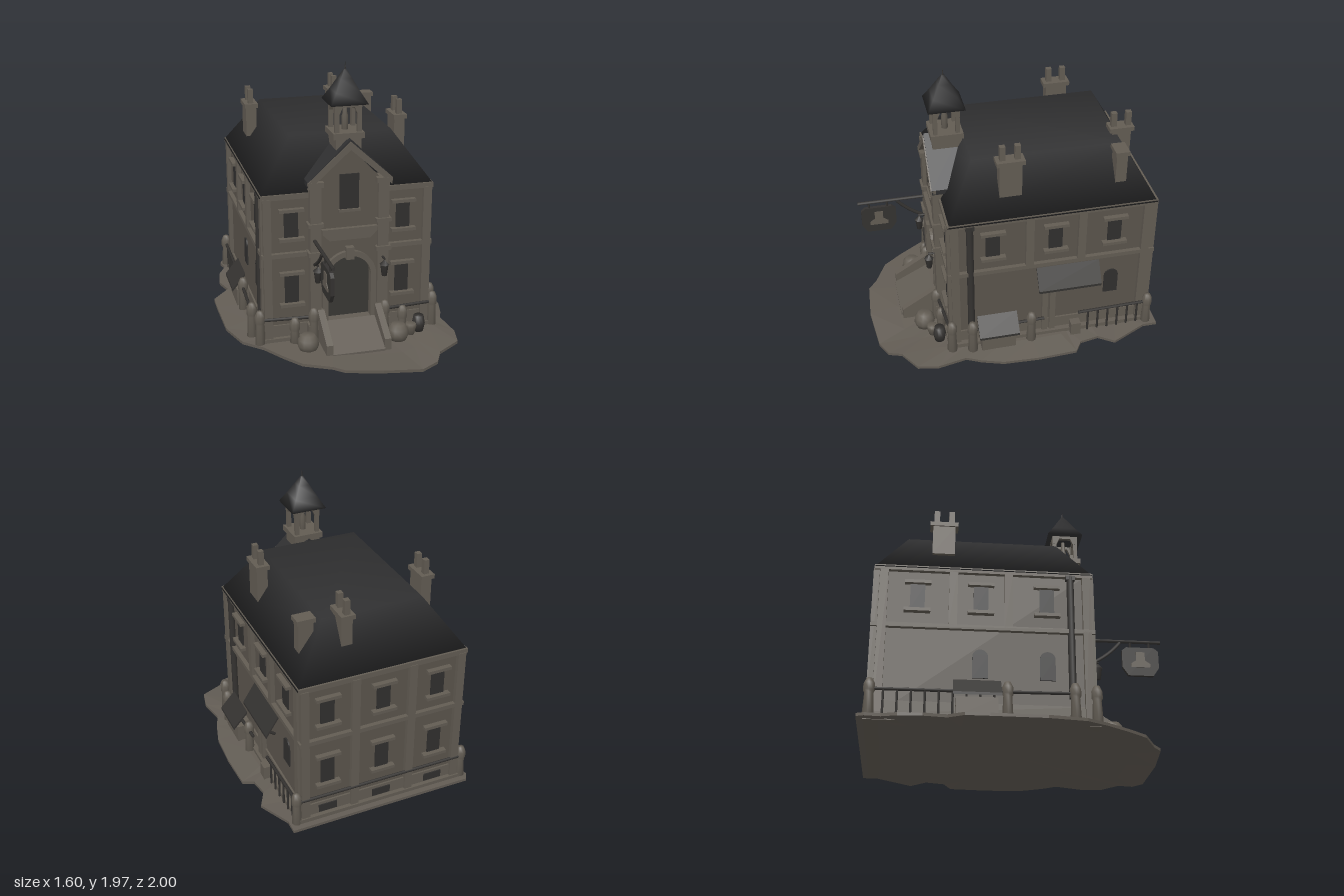
import * as THREE from 'three';
import { mergeVertices } from 'three/addons/utils/BufferGeometryUtils.js';

const mat = (name, color, side = THREE.FrontSide) => {
  const m = new THREE.MeshStandardMaterial({ color, side });
  m.name = name;
  return m;
};

export function createModel() {
  const root = new THREE.Group();
  const wall = mat('wall plaster', 0x5a544c), stone = mat('trim stone', 0x625c53);
  const slate = mat('roof slate', 0x2f2f30), wood = mat('dark wood', 0x343230);
  const glass = mat('window dark', 0x302f2e), doorWood = mat('door wood', 0x393734);
  const earth = mat('ground earth', 0x625c54, THREE.DoubleSide);

  const add = (name, geo, m, x = 0, y = 0, z = 0, parent = root) => {
    const o = new THREE.Mesh(geo, m);
    o.name = name;
    o.position.set(x, y, z);
    parent.add(o);
    return o;
  };
  // box given by its centre in x and z and its lowest and highest y
  const box = (name, m, w, y0, y1, d, x, z, parent = root) =>
    add(name, new THREE.BoxGeometry(w, y1 - y0, d), m, x, (y0 + y1) / 2, z, parent);
  // round bar between two points
  const bar = (name, m, a, b, r, sides = 6) => {
    const p = new THREE.Vector3(...a), q = new THREE.Vector3(...b), dir = q.clone().sub(p);
    const o = add(name, new THREE.CylinderGeometry(r, r, dir.length(), sides), m);
    o.position.copy(p).add(q).multiplyScalar(0.5);
    o.quaternion.setFromUnitVectors(new THREE.Vector3(0, 1, 0), dir.normalize());
    return o;
  };
  const lathe = (name, pts, m, x, y, z, sides = 10) =>
    add(name, new THREE.LatheGeometry(pts.map(p => new THREE.Vector2(...p)), sides), m, x, y, z);
  const extrude = (shape, depth) =>
    new THREE.ExtrudeGeometry(shape, { depth, bevelEnabled: false, curveSegments: 10 });
  const poly = pts => new THREE.Shape(pts.map(p => new THREE.Vector2(...p)));
  const arch = (S, w, y0, y1) => {
    const s = new S();
    s.moveTo(-w, y0); s.lineTo(w, y0); s.lineTo(w, y1);
    s.absarc(0, y1, w, 0, Math.PI, false); s.lineTo(-w, y0);
    return s;
  };

  // uneven ground, built in rings from its outline
  const outline = [[-0.63, -1], [0, -1], [0.66, -1], [0.66, -0.9], [0.76, -0.66], [0.7, -0.55], [0.72, -0.42],
    [0.79, -0.37], [0.8, -0.1], [0.79, 0.15], [0.75, 0.3], [0.71, 0.4], [0.74, 0.6], [0.71, 0.74], [0.55, 0.83],
    [0.5, 0.92], [0.38, 0.97], [0.1, 1], [-0.15, 0.98], [-0.22, 0.92], [-0.4, 0.83], [-0.5, 0.7], [-0.6, 0.55],
    [-0.72, 0.4], [-0.79, 0.15], [-0.8, -0.2], [-0.8, -0.35], [-0.68, -0.45], [-0.72, -0.6], [-0.7, -0.75], [-0.64, -0.85], [-0.66, -0.95]];
  const n = outline.length, pos = [], idx = [];
  const height = (x, z) => 0.11 - 0.2 * Math.max(0, Math.abs(x) - 0.64)
    - 0.16 * Math.max(0, z - 0.5) * Math.exp(-(((x - 0.4) / 0.3) ** 2));
  const rings = [[0.001, 0], [0.6, 0], [0.8, 0], [1, 0], [1, 0.02], [0.8, 0.035], [0.001, 0.035]];
  rings.forEach(([s, drop], r) => outline.forEach(([x, z], i) => {
    pos.push(x * s, height(x * s, z * s) - drop, z * s);
    if (r < rings.length - 1) {
      const a = r * n + i, b = r * n + (i + 1) % n;
      idx.push(a, b + n, b, a, a + n, b + n);
    }
  }));
  const groundGeo = new THREE.BufferGeometry();
  groundGeo.setAttribute('position', new THREE.Float32BufferAttribute(pos, 3));
  groundGeo.setIndex(idx);
  const groundFlat = groundGeo.toNonIndexed();
  groundFlat.computeVertexNormals();
  add('ground', groundFlat, earth);

  // house body, plinth, string course and cornice
  const cz = -0.23;
  box('plinth', stone, 1.22, 0.08, 0.135, 1.46, 0, cz);
  box('walls', wall, 1.12, 0.1, 1.16, 1.38, 0, cz);
  box('baseCourse', stone, 1.145, 0.13, 0.22, 1.405, 0, cz);
  box('stringCourse', stone, 1.18, 0.715, 0.745, 1.44, 0, cz);
  box('cornice', stone, 1.18, 1.12, 1.155, 1.43, 0, cz);

  // hipped roof with a flat top, softly shaded
  const roofBox = new THREE.BoxGeometry(1.19, 0.35, 1.42);
  roofBox.deleteAttribute('normal');
  roofBox.deleteAttribute('uv');
  const roofGeo = mergeVertices(roofBox);
  const rp = roofGeo.attributes.position;
  for (let i = 0; i < rp.count; i++) if (rp.getY(i) > 0) {
    rp.setX(i, rp.getX(i) * 0.585);
    rp.setZ(i, rp.getZ(i) * 0.715);
  }
  roofGeo.computeVertexNormals();
  add('roof', roofGeo, slate, 0, 1.315, cz);

  // facades: local z points out of the wall; pilasters are [position, lowest y]
  const facade = (name, x, z, turn, columns, pilasters, lower) => {
    const g = new THREE.Group();
    g.name = name;
    g.position.set(x, 0, z);
    g.rotation.y = turn;
    root.add(g);
    const framed = (u, y0, y1) => {
      box('windowPane', glass, 0.095, y0, y1, 0.009, u, 0.0045, g);
      box('lintel', stone, 0.17, y1, y1 + 0.022, 0.045, u, 0.012, g);
      box('sill', stone, 0.17, y0 - 0.022, y0, 0.05, u, 0.014, g);
    };
    columns.forEach((u, i) => {
      framed(u, 0.85, 1.03);
      if (lower[i] === 'framed') framed(u, 0.38, 0.585);
      if (lower[i] === 'arched') add('archedWindow', extrude(arch(THREE.Shape, 0.05, 0.39, 0.535), 0.009), glass, u, 0, 0, g);
    });
    pilasters.forEach(([u, y]) => box('pilaster', stone, 0.055, y, 1.13, 0.04, u, 0.01, g));
    return g;
  };
  const low = 0.1, high = 0.73;
  facade('frontWall', 0, 0.46, 0, [-0.385, 0.385], [[-0.55, low], [0.55, low]], ['framed', 'framed']);
  const back = facade('backWall', 0, -0.92, Math.PI, [-0.39, 0, 0.39],
    [[-0.55, low], [-0.2, low], [0.2, low], [0.55, low]], ['framed', 'framed', 'framed']);
  for (const u of [-0.39, 0, 0.39]) box('cellarWindow', glass, 0.13, 0.145, 0.2, 0.008, u, 0.016, back);
  facade('leftWall', 0.56, cz, Math.PI / 2, [-0.41, 0.02, 0.43],
    [[-0.67, low], [-0.16, high], [0.2, high], [0.65, low]], ['', '', 'arched']);
  facade('rightWall', -0.56, cz, -Math.PI / 2, [-0.43, -0.02, 0.41],
    [[-0.65, low], [-0.2, high], [0.16, high], [0.67, low]], ['', 'arched', 'arched']);

  // projecting entrance bay with arched doorway
  const bay = poly([[-0.22, 0.1], [0.22, 0.1], [0.22, 1.22], [0, 1.45], [-0.22, 1.22]]);
  bay.holes.push(arch(THREE.Path, 0.15, 0.24, 0.55));
  add('entranceBay', extrude(bay, 0.13), wall, 0, 0, 0.37);
  add('door', extrude(arch(THREE.Shape, 0.15, 0.24, 0.55), 0.006), doorWood, 0, 0, 0.463);
  const surround = arch(THREE.Shape, 0.185, 0.24, 0.55);
  surround.holes.push(arch(THREE.Path, 0.148, 0.24, 0.55));
  add('doorSurround', extrude(surround, 0.05), stone, 0, 0, 0.48);
  box('keystone', stone, 0.055, 0.68, 0.765, 0.07, 0, 0.51);
  const shelf = poly([[-0.19, 0.9], [-0.19, 0.87], [-0.14, 0.82], [0.14, 0.82], [0.19, 0.87], [0.19, 0.9]]);
  add('ledge', extrude(shelf, 0.05), stone, 0, 0, 0.48);
  box('gableWindow', glass, 0.13, 1.03, 1.27, 0.009, 0, 0.504);
  box('gableSill', stone, 0.15, 1.012, 1.03, 0.03, 0, 0.506);
  for (const s of [-1, 1]) {
    box('bayButtress', stone, 0.075, 0.1, 1.22, 0.11, s * 0.232, 0.47);
    for (const [y, h] of [[0.72, 0.03], [0.925, 0.025], [1.2, 0.035], [0.12, 0.1]])
      box('buttressBand', stone, 0.105, y, y + h, 0.14, s * 0.232, 0.47);
    const slope = [[s * 0.285, 1.2], [0, 1.475], [0, 1.51], [s * 0.285, 1.235]];
    add('gableRoof', extrude(poly(slope), 0.26), slate, 0, 0, 0.27);
    const cope = [[s * 0.285, 1.185], [0, 1.44], [0, 1.495], [s * 0.285, 1.235]];
    add('gableCoping', extrude(poly(cope), 0.035), stone, 0, 0, 0.503);
    // sloping stair walls
    const cheek = extrude(poly([[0.5, 0.1], [0.77, 0.1], [0.77, 0.18], [0.53, 0.33], [0.5, 0.33]]), 0.045);
    add('stairWall', cheek.rotateY(-Math.PI / 2), stone, s * 0.2 + 0.0225, 0, 0);
    // lanterns beside the door
    bar('lanternArm', wood, [s * 0.23, 0.67, 0.5], [s * 0.23, 0.67, 0.57], 0.008);
    lathe('lantern', [[0, 0], [0.018, 0], [0.028, 0.075], [0.034, 0.08], [0, 0.115]], wood, s * 0.23, 0.55, 0.565, 6);
    // broad low planters
    lathe('planter', [[0, 0], [0.06, 0], [0.074, 0.04], [0.068, 0.08], [0.045, 0.11], [0, 0.115]], stone, s * 0.315, 0.1, 0.63, 10);
  }
  const ramp = extrude(poly([[0.45, 0.1], [0.78, 0.1], [0.78, 0.115], [0.53, 0.245], [0.45, 0.245]]), 0.36);
  add('entranceRamp', ramp.rotateY(-Math.PI / 2), earth, 0.18, 0, 0);

  // bell turret
  const tz = 0.385;
  box('turretBase', stone, 0.17, 1.36, 1.5, 0.2, 0, tz);
  box('turretSlab', stone, 0.21, 1.5, 1.54, 0.22, 0, tz);
  for (const x of [-0.075, 0.075]) for (const z of [-0.075, 0.075])
    box('turretPost', stone, 0.028, 1.53, 1.73, 0.028, x, tz + z);
  const turretArch = poly([[-0.09, 1.73], [-0.09, 1.66], [-0.06, 1.66], [-0.04, 1.705], [0.04, 1.705], [0.06, 1.66], [0.09, 1.66], [0.09, 1.73]]);
  for (let k = 0; k < 4; k++) {
    const geo = extrude(turretArch, 0.025).translate(0, 0, 0.065).rotateY(k * Math.PI / 2);
    add('turretArch', geo, stone, 0, 0, tz);
  }
  lathe('bell', [[0, 0], [0.022, 0], [0.022, 0.1], [0.016, 0.12], [0.012, 0.19], [0, 0.19]], stone, 0, 1.53, tz, 8);
  const spireGeo = new THREE.LatheGeometry([[0, 0], [0.177, 0], [0.115, 0.075], [0.055, 0.155], [0.012, 0.21], [0, 0.215]]
    .map(p => new THREE.Vector2(...p)), 4).rotateY(Math.PI / 4);
  add('turretRoof', spireGeo, slate, 0, 1.725, tz);
  add('finial', new THREE.ConeGeometry(0.008, 0.08, 6), wood, 0, 1.95, tz);

  // chimneys: x, z, depth, lowest y
  for (const [x, z, d, y] of [[0.22, -0.77, 0.15, 1.3], [-0.47, -0.5, 0.17, 1.3], [0.465, 0.045, 0.17, 1.26]]) {
    box('chimney', stone, 0.075, y, 1.51, d - 0.02, x, z);
    box('chimneyCap', stone, 0.095, 1.51, 1.54, d + 0.02, x, z);
    for (const s of [-1, 1]) box('chimneyPot', stone, 0.036, 1.54, 1.64, 0.038, x, z + s * 0.05);
  }
  box('plainChimney', stone, 0.1, 1.26, 1.48, 0.075, 0.45, -0.7);
  box('plainChimneyCap', stone, 0.125, 1.48, 1.51, 0.095, 0.45, -0.7);

  // stone posts, rails and balusters
  const post = (x, z, h = 0.25) =>
    lathe('fencePost', [[0, 0], [0.036, 0], [0.028, h - 0.1], [0.036, h - 0.085], [0.036, h - 0.04], [0.02, h - 0.005], [0, h]], stone, x, 0.1, z, 8);
  const rail = (x0, z0, x1, z1, balusters) => {
    bar('rail', wood, [x0, 0.28, z0], [x1, 0.28, z1], 0.011);
    for (let i = 1; i <= balusters; i++) {
      const t = i / (balusters + 1), x = x0 + (x1 - x0) * t, z = z0 + (z1 - z0) * t;
      bar('baluster', wood, [x, 0.1, z], [x, 0.28, z], 0.008, 5);
    }
  };
  for (const s of [-1, 1]) {
    for (const [x, z] of [[0.61, -0.93], [0.625, -0.08], [0.64, 0.34], [0.61, 0.48], [0.25, 0.53]]) post(s * x, z);
    post(s * 0.38, 0.52, 0.19);
    rail(s * 0.61, 0.49, s * 0.25, 0.52, 0);
    rail(s * 0.64, 0.34, s * 0.625, -0.17, 0);
    rail(s * 0.62, s > 0 ? -0.42 : -0.08, s * 0.61, -0.93, s > 0 ? 6 : 9);
    bar('drainPipe', wood, [s * 0.575, 0.27, 0.335], [s * 0.575, 1.13, 0.335], 0.024, 8);
    box('rainHead', wood, 0.04, 1.1, 1.13, 0.06, s * 0.575, 0.335);
  }
  rail(-0.61, -0.945, 0.61, -0.945, 0);

  // sloping boards on the side walls: outline in x and y, run along z
  const board = (name, x0, y0, x1, y1, z0, z1) => {
    const geo = extrude(poly([[x0, y0], [x1, y1], [x1, y1 + 0.018], [x0, y0 + 0.018]]), z1 - z0);
    return add(name, geo, wood, 0, 0, z0);
  };
  board('doorAwning', 0.58, 0.685, 0.67, 0.545, -0.56, -0.12);
  for (const z of [-0.16, -0.46]) bar('awningStrut', wood, [0.57, 0.49, z], [0.665, 0.56, z], 0.01);
  for (const z of [-0.185, -0.24]) box('sideDoorPost', stone, 0.035, 0.1, 0.57, 0.04, 0.572, z);
  box('doorstep', stone, 0.06, 0.1, 0.2, 0.07, 0.62, -0.4);
  board('cellarHatch', 0.6, 0.345, 0.705, 0.23, 0.02, 0.3);
  box('cellarHatchBase', stone, 0.1, 0.1, 0.23, 0.24, 0.62, 0.16);
  board('rearCellarHatch', -0.6, 0.345, -0.695, 0.23, -0.42, -0.12);
  box('rearCellarHatchBase', stone, 0.09, 0.1, 0.23, 0.26, -0.615, -0.27);

  // hanging sign
  const sx = -0.24;
  bar('signPole', wood, [sx, 0.83, 0.48], [sx, 0.83, 1.0], 0.012);
  const brace = new THREE.QuadraticBezierCurve3(new THREE.Vector3(sx, 0.82, 0.72),
    new THREE.Vector3(sx, 0.72, 0.64), new THREE.Vector3(sx, 0.66, 0.52));
  add('signBrace', new THREE.TubeGeometry(brace, 8, 0.012, 6), wood);
  const signSide = (pts, depth) => extrude(poly(pts), depth).rotateY(-Math.PI / 2).translate(depth / 2, 0, 0);
  add('signBoard', signSide([[0.73, 0.76], [0.73, 0.64], [0.77, 0.58], [0.94, 0.58], [0.98, 0.64], [0.98, 0.76], [0.95, 0.785], [0.76, 0.785]], 0.024), wood, sx);
  for (const z of [0.79, 0.92]) bar('signHook', wood, [sx, 0.77, z], [sx, 0.83, z], 0.008, 5);
  add('signPlate', signSide([[0.79, 0.64], [0.92, 0.64], [0.92, 0.665], [0.885, 0.69], [0.885, 0.75], [0.825, 0.75], [0.825, 0.69], [0.79, 0.665]], 0.034), stone, sx);

  // small barrel and pot near the entrance
  lathe('barrel', [[0, 0], [0.035, 0], [0.045, 0.055], [0.035, 0.115], [0, 0.115]], wood, 0.49, 0.1, 0.55);
  lathe('smallPot', [[0, 0], [0.025, 0], [0.04, 0.06], [0.035, 0.08], [0, 0.08]], stone, 0.42, 0.1, 0.59);
  return root;
}
